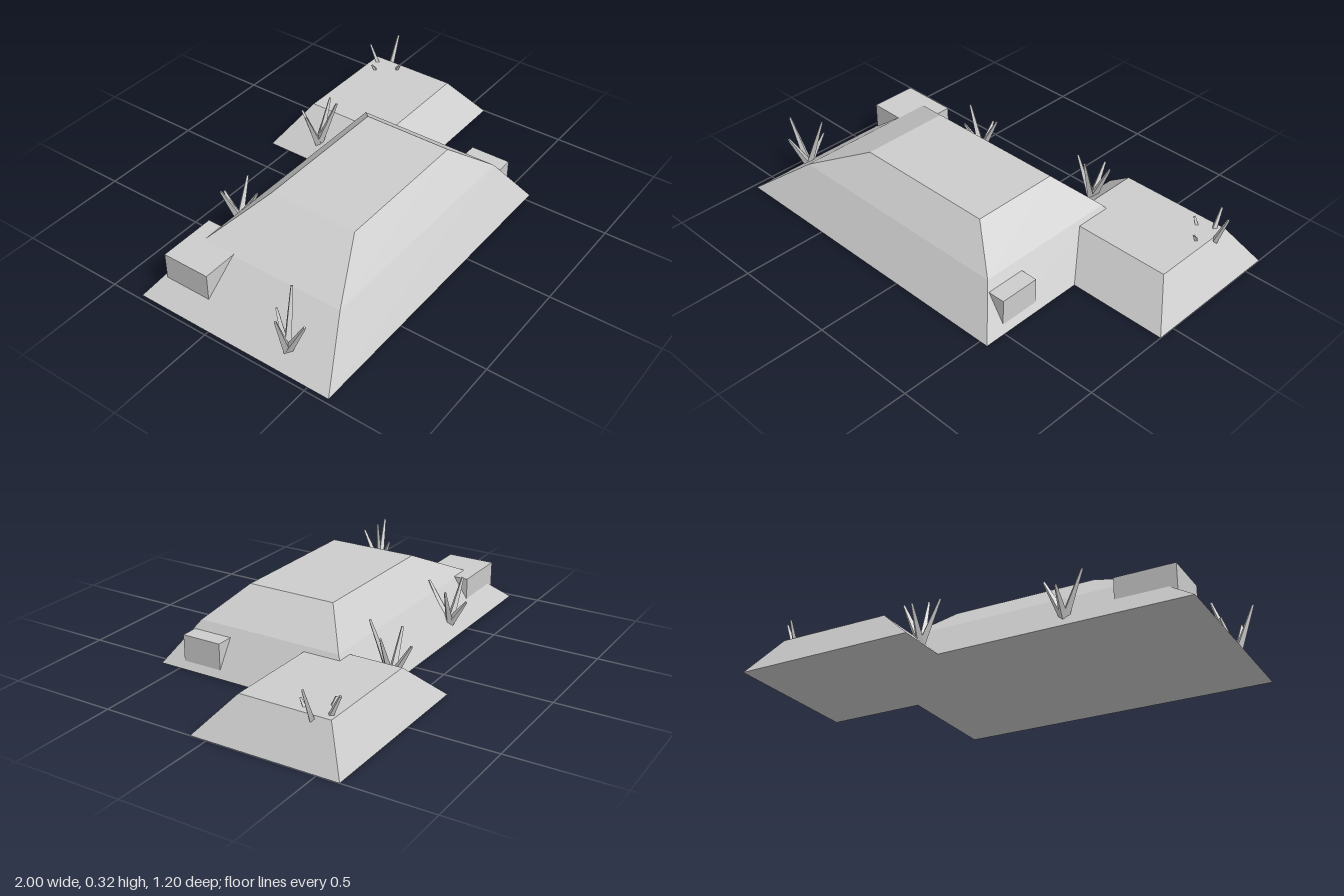
import * as THREE from 'three';

const stone = new THREE.MeshStandardMaterial({ color: 0xcccccc });
stone.name = 'pale grey';

// Closed stack of rectangular rings, each [y, x0, x1, z0, z1], flat faced
function terraced(name, rings) {
  const corners = rings.map(([y, x0, x1, z0, z1]) =>
    [[x0, y, z1], [x1, y, z1], [x1, y, z0], [x0, y, z0]]);
  const pos = [];
  const quad = (a, b, c, d) => pos.push(...a, ...b, ...c, ...a, ...c, ...d);
  for (let r = 0; r < corners.length - 1; r++) {
    const low = corners[r], high = corners[r + 1];
    for (let i = 0; i < 4; i++) {
      const j = (i + 1) % 4;
      quad(low[i], low[j], high[j], high[i]);
    }
  }
  const [a, b, c, d] = corners[0];
  quad(d, c, b, a);
  quad(...corners[corners.length - 1]);
  const geo = new THREE.BufferGeometry();
  geo.setAttribute('position', new THREE.Float32BufferAttribute(pos, 3));
  geo.computeVertexNormals();
  const mesh = new THREE.Mesh(geo, stone);
  mesh.name = name;
  return mesh;
}

// Box given by its extents
function block(name, x0, x1, y0, y1, z0, z1) {
  const mesh = new THREE.Mesh(new THREE.BoxGeometry(x1 - x0, y1 - y0, z1 - z0), stone);
  mesh.position.set((x0 + x1) / 2, (y0 + y1) / 2, (z0 + z1) / 2);
  mesh.name = name;
  return mesh;
}

// Four-sided tapering blades fanning out from one root to the given tips
function grassTuft(name, root, tips) {
  const tuft = new THREE.Group();
  tuft.name = name;
  const base = new THREE.Vector3(...root);
  for (const t of tips) {
    const tip = new THREE.Vector3(...t);
    const dir = tip.clone().sub(base);
    const geo = new THREE.CylinderGeometry(0.006, 0.02, dir.length(), 4).toNonIndexed();
    geo.computeVertexNormals();
    const blade = new THREE.Mesh(geo, stone);
    blade.name = 'grassBlade';
    blade.position.copy(base).add(tip).multiplyScalar(0.5);
    blade.quaternion.setFromUnitVectors(new THREE.Vector3(0, 1, 0), dir.normalize());
    tuft.add(blade);
  }
  return tuft;
}

export function createModel() {
  const model = new THREE.Group();
  model.name = 'moundBunker';

  // Earthworks
  model.add(terraced('mainMound', [
    [0, -0.98, 0.54, -0.36, 0.6],
    [0.19, -0.73, 0.415, -0.23, 0.47],
    [0.325, -0.45, 0.235, -0.09, 0.335],
  ]));
  model.add(terraced('sideMound', [
    [0, 0.16, 1, -0.6, 0.08],
    [0.17, 0.35, 0.88, -0.49, -0.07],
  ]));

  // Openings set into the slopes
  model.add(block('sideHatch', 0.36, 0.52, 0.03, 0.152, 0.298, 0.488));
  model.add(block('rearHatch', -0.89, -0.62, 0.07, 0.193, -0.295, -0.07));

  // Grass tufts
  model.add(grassTuft('frontGrass', [-0.905, 0.04, 0.345],
    [[-0.99, 0.275, 0.365], [-0.82, 0.3, 0.31], [-0.91, 0.225, 0.44], [-0.87, 0.2, 0.27]]));
  model.add(grassTuft('rearGrass', [-0.41, 0.05, -0.315],
    [[-0.5, 0.25, -0.33], [-0.325, 0.23, -0.33], [-0.41, 0.17, -0.395], [-0.41, 0.24, -0.205]]));
  model.add(grassTuft('cornerGrass', [0.235, 0.05, -0.375],
    [[0.145, 0.25, -0.375], [0.33, 0.26, -0.375], [0.26, 0.3, -0.285], [0.23, 0.21, -0.465]]));
  model.add(grassTuft('sideMoundGrass', [0.845, 0.05, -0.41],
    [[0.94, 0.295, -0.405], [0.84, 0.255, -0.505], [0.835, 0.2, -0.325], [0.755, 0.2, -0.435]]));

  return model;
}
